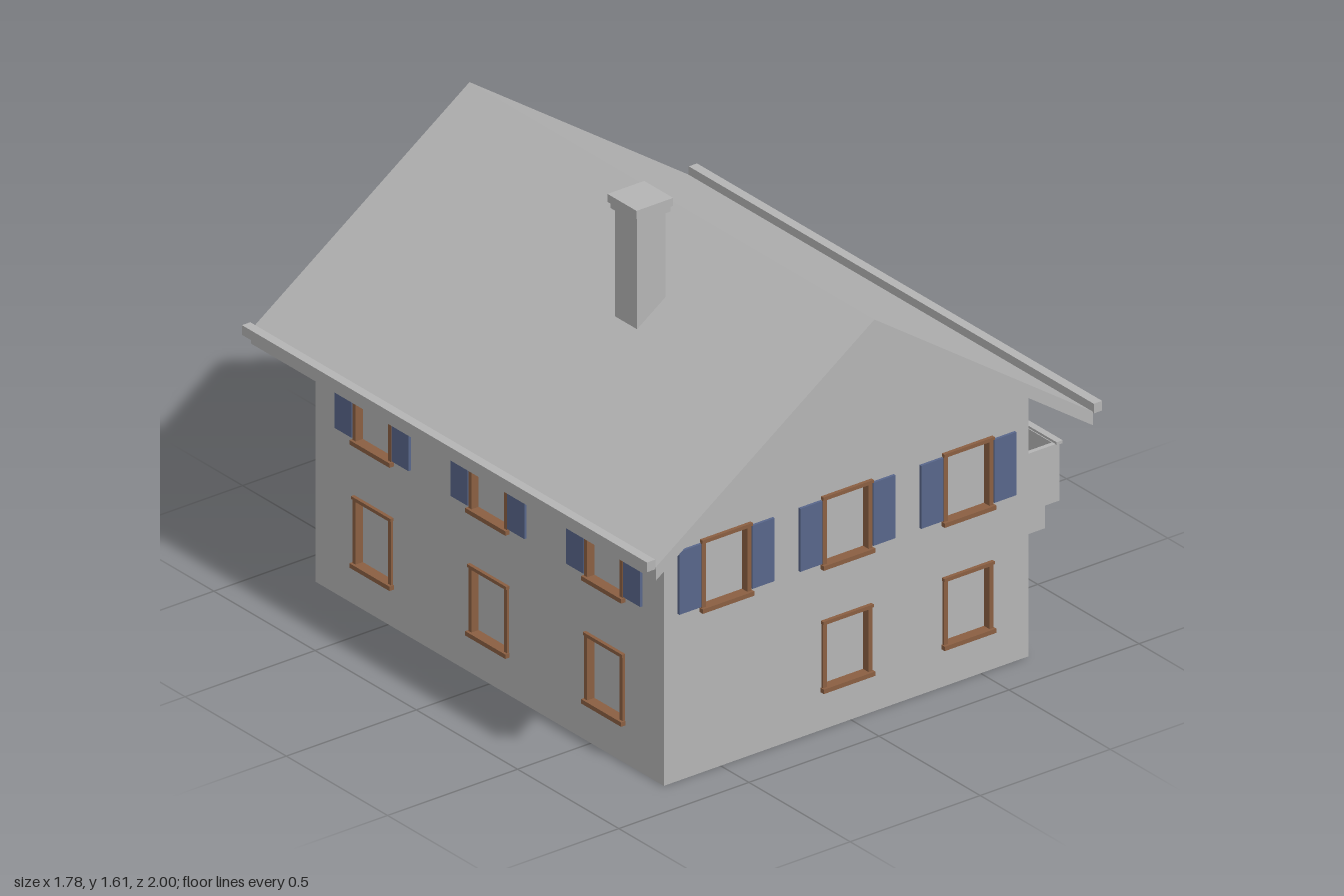
import * as THREE from 'three';

const CX = -0.017;            // ridge line of the house
const HALF_W = 0.701, HALF_D = 0.86;
const RIDGE = 1.38, EAVE = 0.80, EAVE_X = 0.841;

export function createModel() {
  const plaster = new THREE.MeshStandardMaterial({ color: 0xb4b4b4, side: THREE.DoubleSide });
  plaster.name = 'plaster grey';
  const wood = new THREE.MeshStandardMaterial({ color: 0x8a5f42 });
  wood.name = 'window wood';
  const blue = new THREE.MeshStandardMaterial({ color: 0x58668a });
  blue.name = 'shutter blue';

  const house = new THREE.Group();
  house.name = 'house';

  const add = (parent, name, geometry, material) => {
    const mesh = new THREE.Mesh(geometry, material);
    mesh.name = name;
    parent.add(mesh);
    return mesh;
  };
  // Box given by its limits on each axis
  const box = (parent, name, [x0, x1], [y0, y1], [z0, z1], material) => {
    const mesh = add(parent, name, new THREE.BoxGeometry(x1 - x0, y1 - y0, z1 - z0), material);
    mesh.position.set((x0 + x1) / 2, (y0 + y1) / 2, (z0 + z1) / 2);
    return mesh;
  };
  const polygon = (points) => new THREE.Shape(points.map(([x, y]) => new THREE.Vector2(x, y)));
  const rectPath = (x0, x1, y0, y1) => {
    const path = new THREE.Path();
    path.moveTo(x0, y0).lineTo(x0, y1).lineTo(x1, y1).lineTo(x1, y0).closePath();
    return path;
  };

  // Window: frame through the wall, pane set back, lintel, sill, optional shutters
  const W = 0.095, B = 0.015;
  const addWindow = (facade, x, y0, y1, shutters) => {
    const win = new THREE.Group();
    win.name = 'window';
    win.position.x = x;
    facade.add(win);
    const outline = polygon([[-W, y0], [W, y0], [W, y1], [-W, y1]]);
    outline.holes.push(rectPath(-W + B, W - B, y0 + B, y1 - B));
    const frame = new THREE.ExtrudeGeometry(outline, { depth: 0.028, bevelEnabled: false });
    add(win, 'windowFrame', frame, wood).position.z = -0.02;
    box(win, 'windowPane', [-W, W], [y0, y1], [-0.024, -0.02], plaster);
    box(win, 'windowSill', [-W - 0.004, W + 0.004], [y0, y0 + B], [0, 0.017], wood);
    box(win, 'windowLintel', [-W - 0.002, W + 0.002], [y1 - 0.01, y1], [0, 0.012], wood);
    if (shutters) for (const s of [-1, 1]) {
      const shutter = box(win, 'shutter', [-0.0425, 0.0425], [0.57, 0.785], [0, 0.009], blue);
      shutter.position.x = s * (W + 0.0455);
    }
  };

  // Wall with window openings, turned to its side of the house
  const addFacade = (name, outline, angle, distance, upper, lower) => {
    const facade = new THREE.Group();
    facade.name = name;
    facade.position.set(CX + Math.sin(angle) * distance, 0, Math.cos(angle) * distance);
    facade.rotation.y = angle;
    house.add(facade);
    const wall = polygon(outline);
    for (const [list, y0, y1, shutters] of [[upper, 0.55, 0.797, true], [lower, 0.13, 0.373, false]]) {
      for (const x of list) {
        wall.holes.push(rectPath(x - W + 0.003, x + W - 0.003, y0 + 0.003, y1 - 0.003));
        addWindow(facade, x, y0, y1, shutters);
      }
    }
    add(facade, name + 'Wall', new THREE.ShapeGeometry(wall), plaster);
  };
  const wallTop = RIDGE - (RIDGE - EAVE) * HALF_W / EAVE_X;
  const gable = [[-HALF_W, 0], [HALF_W, 0], [HALF_W, wallTop], [0, RIDGE], [-HALF_W, wallTop]];
  const side = [[-HALF_D, 0], [HALF_D, 0], [HALF_D, wallTop], [-HALF_D, wallTop]];
  const gableX = [-0.465, 0, 0.465], sideX = [-0.572, 0, 0.572];
  addFacade('front', gable, 0, HALF_D, gableX, [0, 0.465]);
  addFacade('back', gable, Math.PI, HALF_D, gableX, gableX);
  addFacade('left', side, Math.PI / 2, HALF_W, sideX, sideX);
  addFacade('right', side, -Math.PI / 2, HALF_W, sideX, sideX);

  // Roof: one folded slab along z, with a gutter on each eave
  const roofShape = polygon([
    [-EAVE_X, EAVE], [0, RIDGE], [EAVE_X, EAVE],
    [EAVE_X, EAVE + 0.046], [0, RIDGE + 0.046], [-EAVE_X, EAVE + 0.046],
  ]);
  const roof = add(house, 'roof',
    new THREE.ExtrudeGeometry(roofShape, { depth: 2, bevelEnabled: false }), plaster);
  roof.position.set(CX, 0, -1);
  for (const s of [-1, 1]) {
    const gutter = box(house, 'gutter', [-0.016, 0.016], [0.84, 0.873], [-1, 1], plaster);
    gutter.position.x = CX + s * (EAVE_X + 0.018);
  }

  // Chimney with a stepped cap
  box(house, 'chimney', [-0.35, -0.24], [1.1, 1.57], [0.147, 0.255], plaster);
  box(house, 'chimneyCapLower', [-0.36, -0.23], [1.565, 1.585], [0.136, 0.267], plaster);
  box(house, 'chimneyCapUpper', [-0.366, -0.225], [1.585, 1.612], [0.13, 0.273], plaster);

  // Balcony on the left side
  const balcony = new THREE.Group();
  balcony.name = 'balcony';
  house.add(balcony);
  const wallX = CX + HALF_W;
  box(balcony, 'balconyFloor', [wallX, 0.875], [0.43, 0.455], [-0.762, 0.762], plaster);
  box(balcony, 'balconyFront', [0.862, 0.88], [0.43, 0.627], [-0.762, 0.762], plaster);
  box(balcony, 'balconyRail', [0.865, 0.888], [0.625, 0.635], [-0.767, 0.767], plaster);
  for (const s of [-1, 1]) {
    const panel = box(balcony, 'balconySide', [wallX, 0.865], [0.43, 0.627], [-0.008, 0.008], plaster);
    panel.position.z = s * 0.754;
  }
  for (const z of [-0.75, -0.25, 0.25, 0.75]) {
    box(balcony, 'balconyBracket', [wallX, 0.823], [0.353, 0.43], [z - 0.012, z + 0.012], plaster);
  }
  return house;
}
